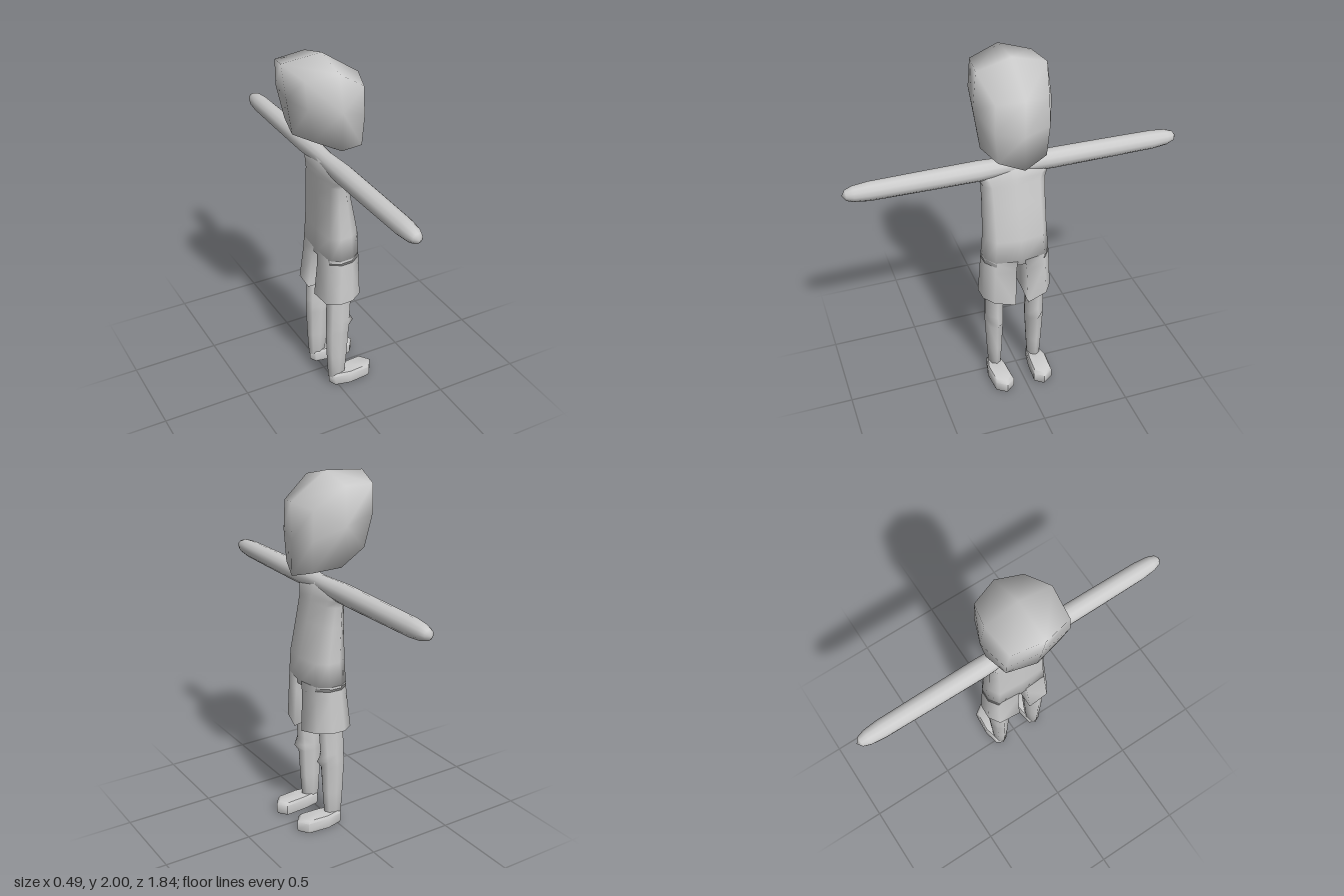
import * as THREE from 'three';
import { toCreasedNormals } from 'three/addons/utils/BufferGeometryUtils.js';

const MID = 0.017; // z of the body's middle plane

// Skin a list of equal-length rings of [x, y, z]; start / end are optional closing points.
function loft(rings, start, end) {
  const n = rings[0].length, pts = rings.flat(), idx = [];
  for (let r = 0; r + 1 < rings.length; r++)
    for (let i = 0; i < n; i++) {
      const a = r * n + i, b = r * n + (i + 1) % n;
      idx.push(a, b, b + n, a, b + n, a + n);
    }
  const fan = (tip, base, flip) => {
    const t = pts.push(tip) - 1;
    for (let i = 0; i < n; i++) {
      const a = base + i, b = base + (i + 1) % n;
      idx.push(t, ...(flip ? [b, a] : [a, b]));
    }
  };
  if (start) fan(start, 0, true);
  if (end) fan(end, (rings.length - 1) * n, false);

  // Turn the faces outward if the rings run the other way round.
  const v = pts.map(p => new THREE.Vector3(...p));
  const c = v.reduce((s, p) => s.add(p), new THREE.Vector3()).divideScalar(v.length);
  let volume = 0;
  for (let i = 0; i < idx.length; i += 3) {
    const [p, q, w] = [0, 1, 2].map(k => v[idx[i + k]].clone().sub(c));
    volume += p.dot(q.cross(w));
  }
  if (volume < 0) idx.reverse();

  const g = new THREE.BufferGeometry();
  g.setAttribute('position', new THREE.Float32BufferAttribute(pts.flat(), 3));
  g.setIndex(idx);
  g.computeVertexNormals();
  return g;
}

// Half of a body section from back centre round to front centre: [x, z].
function halfSection(xb, xf, hw, inner) {
  const d = xf - xb;
  return [
    [xb, inner], [xb + d * 0.04, hw * 0.8], [xb + d * 0.3, hw],
    [xb + d * 0.62, hw * 0.98], [xf - d * 0.1, hw * 0.75], [xf, inner],
  ];
}

function headGeometry() {
  const middle = [[-0.245, 1.98], [-0.02, 2], [0.19, 1.86], [0.19, 1.66],
    [0.19, 1.47], [0.01, 1.475], [-0.19, 1.59], [-0.22, 1.79]];
  const side = [[-0.2, 1.94, 0.165], [-0.02, 1.95, 0.187], [0.145, 1.84, 0.14], [0.15, 1.68, 0.145],
    [0.145, 1.51, 0.13], [0, 1.53, 0.18], [-0.155, 1.61, 0.16], [-0.19, 1.79, 0.18]];
  const c = 0.013;
  const sideRing = s => side.map(([x, y, z]) => [x, y, c + s * z]);
  return loft([sideRing(-1), middle.map(([x, y]) => [x, y, c]), sideRing(1)],
    [-0.01, 1.75, c - 0.21], [-0.01, 1.75, c + 0.21]);
}

// Both arms and the shoulder line as one tube along z.
function armsGeometry() {
  const half = [[0.9, 0.028], [0.86, 0.042], [0.78, 0.05], [0.5, 0.053], [0.2, 0.055]];
  const stations = [...half.map(([z, r]) => [-z, r]), [MID, 0.046],
    ...half.map(([z, r]) => [z, r]).reverse()];
  const rings = stations.map(([z, r]) => Array.from({ length: 12 }, (_, i) => {
    const a = i * Math.PI / 6;
    return [0.005 + r * Math.cos(a), 1.398 + r * Math.sin(a), z];
  }));
  return loft(rings, [0.005, 1.398, -0.92], [0.005, 1.398, 0.92]);
}

function torsoGeometry() {
  const rows = [[0.845, -0.065, 0.15, 0.189], [1.0, -0.06, 0.145, 0.175], [1.2, -0.054, 0.1, 0.173],
    [1.31, -0.05, 0.075, 0.175], [1.345, -0.048, 0.067, 0.19], [1.41, -0.04, 0.048, 0.23]];
  const rings = rows.map(([y, xb, xf, hw]) => {
    const h = halfSection(xb, xf, hw, 0);
    const mirror = h.slice(1, -1).reverse().map(([x, z]) => [x, -z]);
    return [...h, ...mirror].map(([x, z]) => [x, y, MID + z]);
  });
  return loft(rings, [0.04, 0.84, MID], [0.005, 1.42, MID]);
}

// One open trouser leg, carrying on from the torso.
function shortsGeometry(s) {
  const rows = [[0.87, -0.064, 0.149, 0.187, 0.022], [0.8, -0.067, 0.151, 0.192, 0.03],
    [0.6, -0.09, 0.16, 0.203, 0.036]];
  const rings = rows.map(([y, xb, xf, hw, inner], r) => {
    const ring = [...halfSection(xb, xf, hw, inner), [(xb + xf) / 2, inner]];
    return ring.map(([x, z], i) => [x, r === 2 && i === 5 ? 0.578 : y, MID + s * z]);
  });
  return loft(rings);
}

// Leg with a small pointed kneecap at the front.
function legGeometry(s) {
  const rows = [[0.05, -0.045, 0.062, 0.036], [0.2, -0.055, 0.075, 0.045], [0.37, -0.062, 0.085, 0.054],
    [0.41, -0.062, 0.088, 0.055], [0.45, -0.061, 0.09, 0.053], [0.6, -0.058, 0.1, 0.05], [0.8, -0.05, 0.11, 0.05]];
  const rings = rows.map(([y, xb, xf, hw]) => Array.from({ length: 8 }, (_, i) => {
    const a = i * Math.PI / 4;
    const bump = y === 0.41 && i === 0 ? 0.025 : 0;
    return [(xb + xf) / 2 + (xf - xb) / 2 * Math.cos(a) + bump, y, MID + s * (0.121 + hw * Math.sin(a))];
  }));
  return loft(rings, [0.01, 0.05, MID + s * 0.121], [0.03, 0.8, MID + s * 0.121]);
}

// Flat shoe with a pointed toe.
function footGeometry(s) {
  const outline = [[0.24, -0.008], [0.2, 0.05], [0.07, 0.06], [-0.02, 0.04],
    [-0.04, 0], [-0.02, -0.035], [0.07, -0.05], [0.2, -0.058]];
  const ring = (y, k) => outline.map(([x, z]) => [0.1 + (x - 0.1) * k, y, MID + s * (0.121 + z * k)]);
  const g = loft([ring(0, 0.95), ring(0.012, 1), ring(0.06, 1), ring(0.075, 0.86)],
    [0.1, 0, MID + s * 0.121], [0.1, 0.078, MID + s * 0.121]);
  return toCreasedNormals(g, 0.9);
}

export function createModel() {
  const model = new THREE.Group();
  const material = new THREE.MeshStandardMaterial({ color: 0xcccccc });
  const cloth = new THREE.MeshStandardMaterial({ color: 0xcccccc, side: THREE.DoubleSide });
  const add = (name, geometry, mat = material) => {
    const mesh = new THREE.Mesh(geometry, mat);
    mesh.name = name;
    model.add(mesh);
  };

  add('head', headGeometry());
  add('arms', armsGeometry());
  add('torso', torsoGeometry());
  // The figure looks along +x, so its limbs pair up across z.
  for (const [s, label] of [[1, 'near'], [-1, 'far']]) {
    add(label + 'ShortsLeg', shortsGeometry(s), cloth);
    add(label + 'Leg', legGeometry(s));
    add(label + 'Foot', footGeometry(s));
  }
  return model;
}
